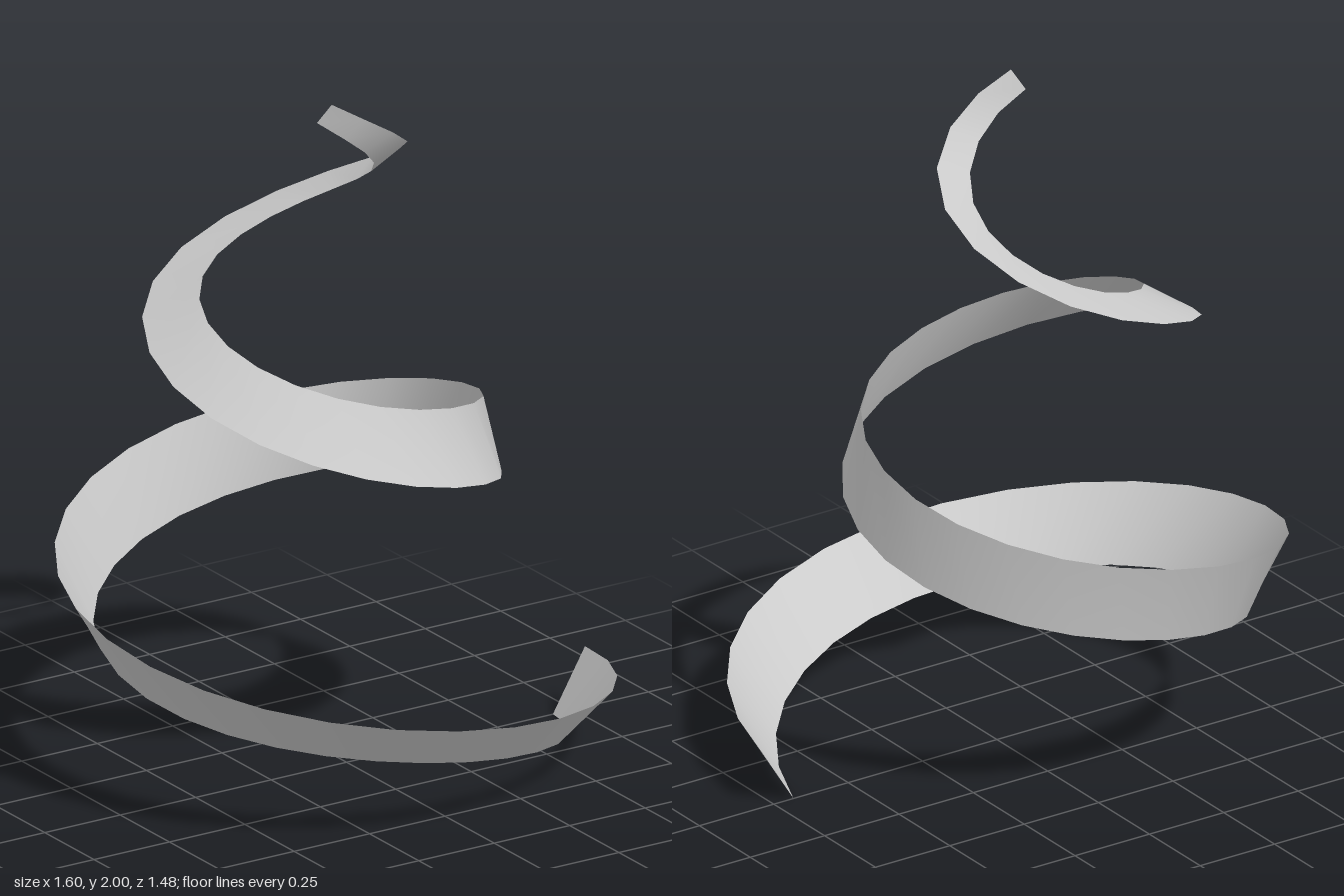
import * as THREE from 'three';

// Centre of the spiral and number of segments along it
const CX = -0.065, CZ = -0.1, SEGMENTS = 50;

// Each edge of the ribbon: [radius, height] at every half of pi, and its range in units of pi
const EDGES = [
  {
    from: 0.033, to: 4.63,
    keys: [[0.868, 0.165], [0.84, 0.345], [0.735, 0.56], [0.64, 0.79], [0.525, 1.0], [0.42, 1.17],
      [0.325, 1.35], [0.255, 1.5], [0.2, 1.69], [0.165, 1.895], [0.15, 2.07]],
  },
  {
    from: 0.042, to: 4.56,
    keys: [[0.765, -0.016], [0.655, 0.19], [0.605, 0.35], [0.58, 0.55], [0.555, 0.76], [0.52, 0.97],
      [0.475, 1.23], [0.42, 1.47], [0.315, 1.745], [0.187, 1.98], [0.15, 2.1]],
  },
];

// Steps turn faster as the spiral tightens, so segments stay similar in length
function progress(t) {
  const p = 1.6, r0 = 0.8, r1 = 0.18;
  const r = Math.pow(THREE.MathUtils.lerp(r0 ** p, r1 ** p, t), 1 / p);
  return (r0 - r) / (r0 - r1);
}

// Points along one edge of the ribbon
function edgePoints({ from, to, keys }) {
  const profile = new THREE.CatmullRomCurve3(
    keys.map(([r, y]) => new THREE.Vector3(r, y, 0)), false, 'catmullrom', 0.5);
  const points = [];
  for (let i = 0; i <= SEGMENTS; i++) {
    const u = THREE.MathUtils.lerp(from, to, progress(i / SEGMENTS));
    const { x: r, y } = profile.getPoint(u / 5);
    const a = u * Math.PI;
    points.push(new THREE.Vector3(CX + r * Math.cos(a), y, CZ + r * Math.sin(a)));
  }
  return points;
}

export function createModel() {
  const group = new THREE.Group();
  group.name = 'spiralRibbon';

  // Thin twisting strip joined between the two edges
  const [a, b] = EDGES.map(edgePoints);
  const points = [], index = [];
  for (let i = 0; i <= SEGMENTS; i++) {
    points.push(a[i], b[i]);
    if (i < SEGMENTS) {
      const k = i * 2;
      index.push(k, k + 2, k + 1, k + 1, k + 2, k + 3);
    }
  }
  const geometry = new THREE.BufferGeometry().setFromPoints(points);
  geometry.setIndex(index);
  geometry.computeVertexNormals();

  const ribbon = new THREE.Mesh(geometry,
    new THREE.MeshStandardMaterial({ color: 0xcccccc, side: THREE.DoubleSide }));
  ribbon.name = 'ribbon';
  group.add(ribbon);
  return group;
}
